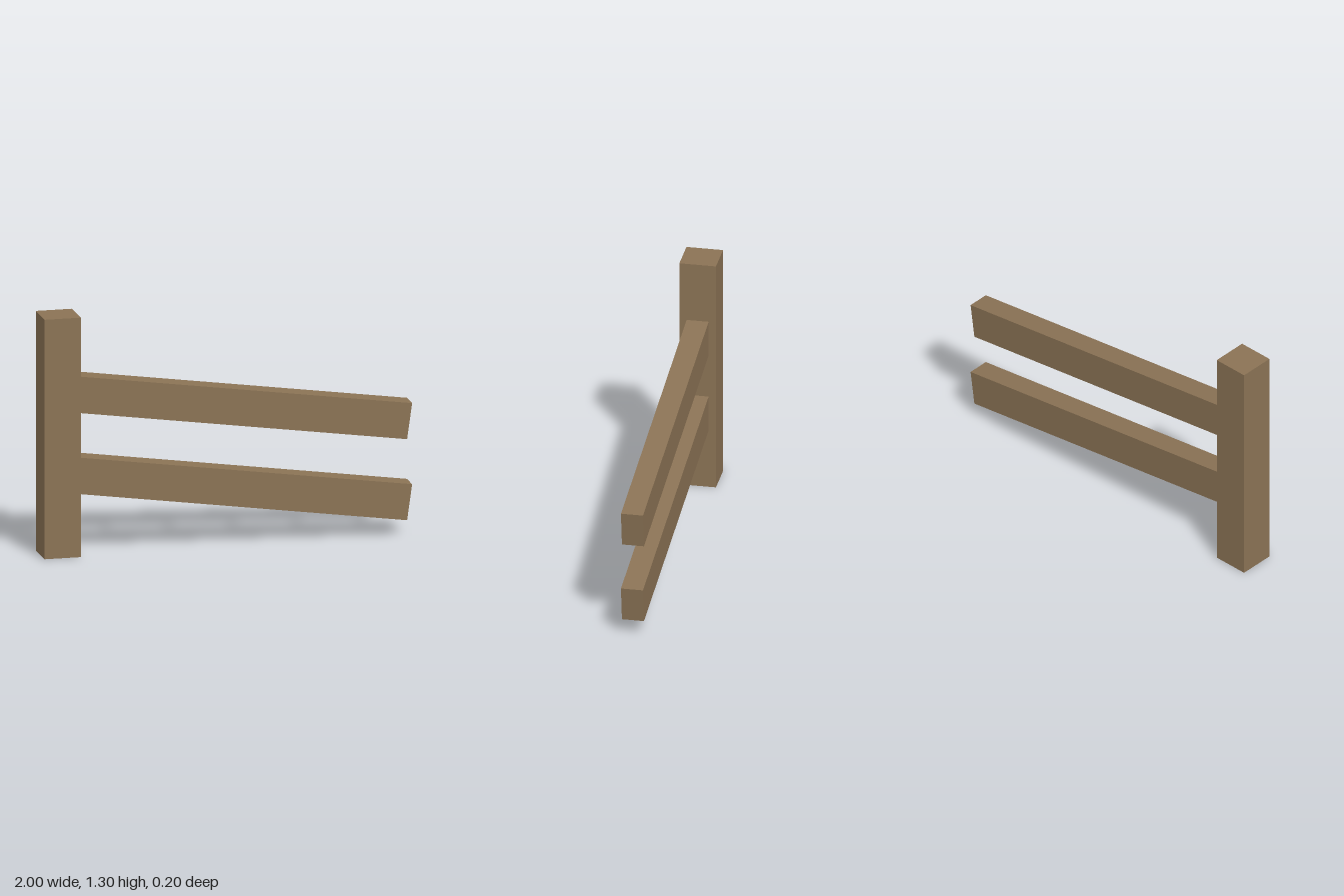
import * as THREE from 'three';

export function createModel() {
  const group = new THREE.Group();
  const wood = new THREE.MeshStandardMaterial({ color: 0x8b7355 });
  wood.name = 'weathered wood';

  const addBeam = (name, size, position, tilt = 0) => {
    const mesh = new THREE.Mesh(new THREE.BoxGeometry(...size), wood);
    mesh.name = name;
    mesh.position.set(...position);
    mesh.rotation.z = tilt;
    group.add(mesh);
  };

  // Upright post
  const postWidth = 0.196, postHeight = 1.3;
  addBeam('post', [postWidth, postHeight, postWidth], [-1 + postWidth / 2, postHeight / 2, 0]);

  // Two parallel rails sloping down from the post, their inner ends set into it
  const tilt = -0.1396, length = 1.9;
  const endX = 0.986;
  [['upperRail', 0.62], ['lowerRail', 0.18]].forEach(([name, endY]) => {
    const x = endX - Math.cos(tilt) * length / 2;
    const y = endY - Math.sin(tilt) * length / 2;
    addBeam(name, [length, 0.196, 0.118], [x, y, 0], tilt);
  });

  return group;
}
